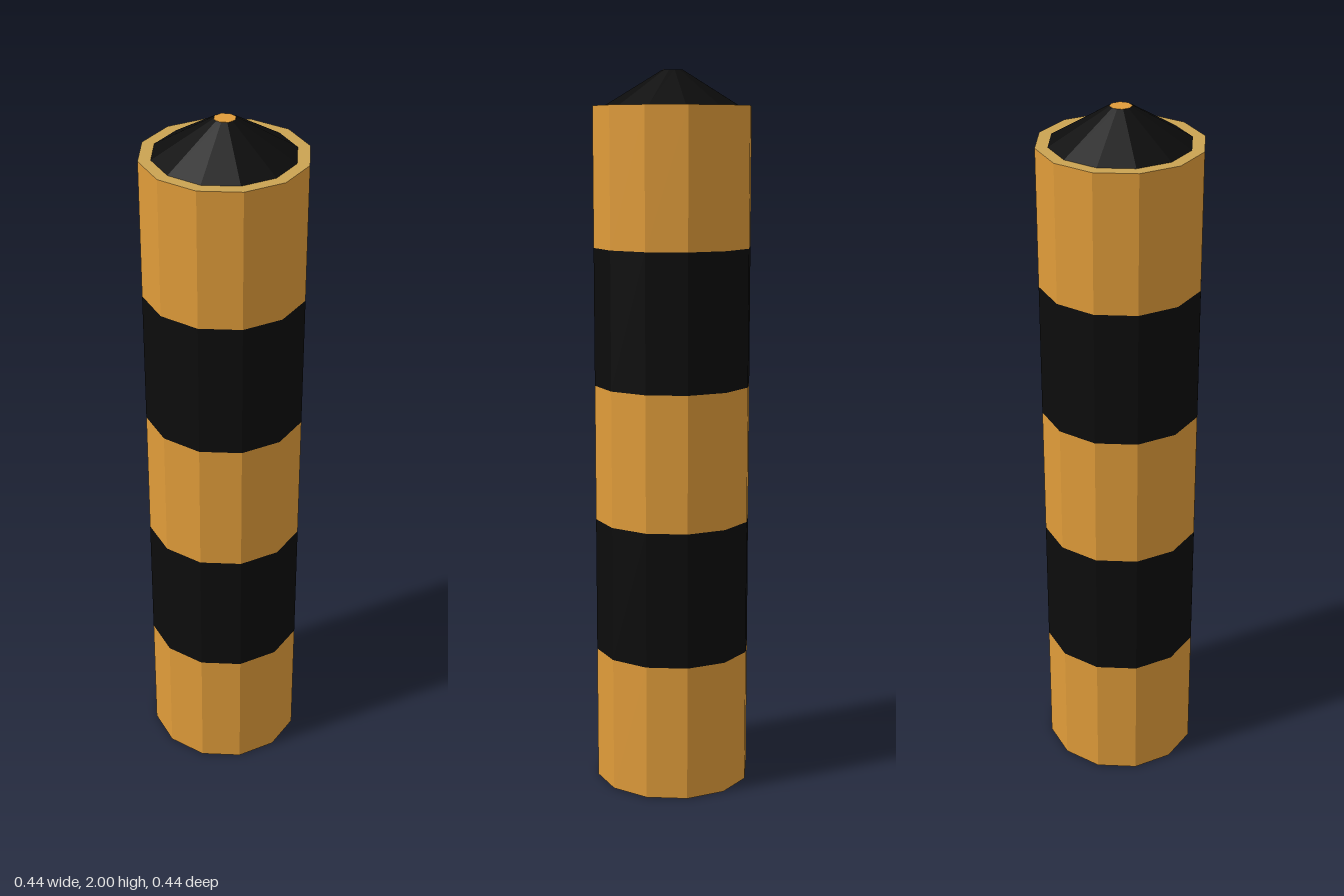
import * as THREE from 'three';

const SIDES = 12, RADIUS = 0.22, BAND = 0.381, BODY_TOP = BAND * 5;

export function createModel() {
  const mat = (name, color) => new THREE.MeshStandardMaterial({ name, color, flatShading: true });
  const orange = mat('orange', 0xe09c3a);
  const black = mat('black', 0x0c0c0c);
  const tan = mat('tan', 0xcaa352);

  const model = new THREE.Group();
  model.name = 'stripedPost';
  const add = (name, geometry, material, y) => {
    const mesh = new THREE.Mesh(geometry, material);
    mesh.name = name;
    mesh.position.y = y;
    model.add(mesh);
    return mesh;
  };
  // Surface turned from [radius, height] pairs, facing right of the direction of travel
  const turned = (points) =>
    new THREE.LatheGeometry(points.map(([r, y]) => new THREE.Vector2(r, y)), SIDES);

  // Five alternating bands of the faceted body
  for (let i = 0; i < 5; i++) {
    add(`band${i + 1}`, new THREE.CylinderGeometry(RADIUS, RADIUS, BAND, SIDES, 1, true),
      i % 2 ? black : orange, BAND * (i + 0.5));
  }

  // Flat top rim, and the cone rising from it
  add('topRim', turned([[RADIUS, 0], [0.187, 0]]), tan, BODY_TOP);
  const coneHeight = 2 - BODY_TOP;
  add('topCone', new THREE.CylinderGeometry(0.029, 0.187, coneHeight, SIDES, 1, true),
    black, BODY_TOP + coneHeight / 2);

  // Small eight-sided cap on the tip
  const cap = add('tipCap', new THREE.CylinderGeometry(0.029, 0.029, 0.004, 8), orange, 1.998);
  cap.rotation.y = Math.PI / 8;

  // Underside: flat rim, sloping recess and its floor
  add('bottomRim', turned([[0.183, 0], [RADIUS, 0]]), black, 0);
  add('bottomRecess', turned([[0.105, 0.03], [0.183, 0]]), orange, 0);
  add('recessFloor', turned([[0, 0], [0.105, 0]]), black, 0.03);

  return model;
}
